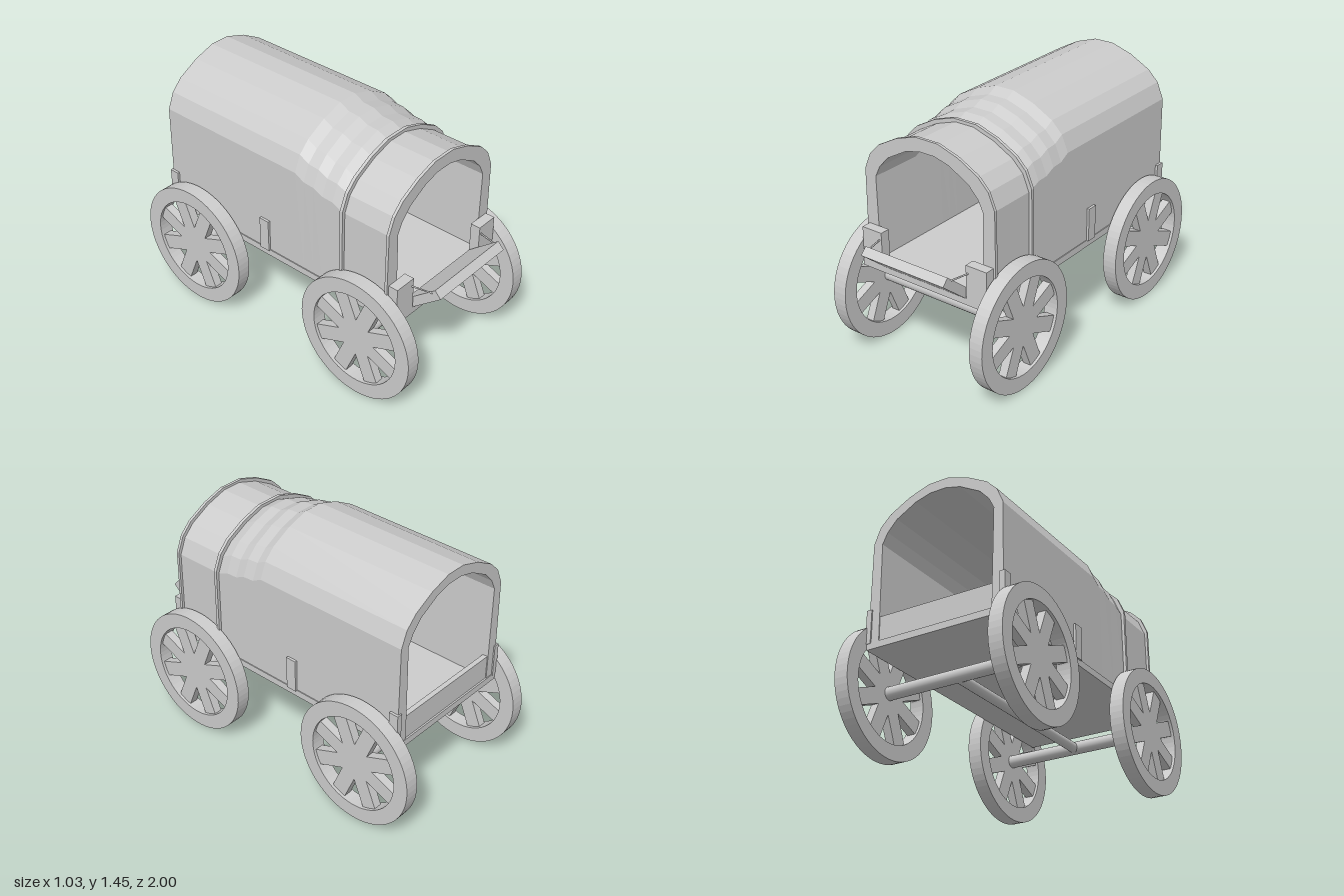
import * as THREE from 'three';

const flat = new THREE.MeshStandardMaterial({ color: 0xcccccc, flatShading: true, side: THREE.DoubleSide });
const smooth = new THREE.MeshStandardMaterial({ color: 0xcccccc });

function add(parent, name, geometry, material = flat) {
  const mesh = new THREE.Mesh(geometry, material);
  mesh.name = name;
  parent.add(mesh);
  return mesh;
}

// Box given by its limits on each axis
function box(parent, name, [x0, x1], [y0, y1], [z0, z1]) {
  const mesh = add(parent, name, new THREE.BoxGeometry(x1 - x0, y1 - y0, z1 - z0));
  mesh.position.set((x0 + x1) / 2, (y0 + y1) / 2, (z0 + z1) / 2);
  return mesh;
}

// Round bar between two points
function bar(parent, name, a, b, radius, sides = 20) {
  const from = new THREE.Vector3(...a), to = new THREE.Vector3(...b);
  const dir = to.clone().sub(from);
  const mesh = add(parent, name, new THREE.CylinderGeometry(radius, radius, dir.length(), sides), smooth);
  mesh.position.copy(from).add(to).multiplyScalar(0.5);
  mesh.quaternion.setFromUnitVectors(new THREE.Vector3(0, 1, 0), dir.normalize());
  return mesh;
}

// Half arches as [x, height above the shoulder], from the shoulder to the crown
const OUTER = [[0.42, 0], [0.38, 0.095], [0.315, 0.16], [0.19, 0.228], [0.06, 0.27]];
const INNER = [[0.362, -0.015], [0.33, 0.05], [0.27, 0.115], [0.145, 0.185], [0.05, 0.21]];
const BASE = 0.575;

// Full arch outline from the right foot over the crown to the left foot
function archPoints(half, shoulder, footX, grow = 0) {
  const side = [[footX + grow, BASE], ...half.map(([x, y]) => [x + grow, shoulder + y + grow])];
  return [...side, ...side.slice().reverse().map(([x, y]) => [-x, y])];
}

// Loft a closed ring of points through stations along z, with end caps
function loftArch(stations) {
  const rings = stations.map(({ z, shoulder, grow = 0 }) => [
    ...archPoints(OUTER, shoulder, 0.425, grow),
    ...archPoints(INNER, shoulder, 0.355).reverse(),
  ].map(([x, y]) => [x, y, z]));
  const n = rings[0].length;
  const position = rings.flat(2);
  const index = [];
  for (let s = 0; s < rings.length - 1; s++) {
    for (let i = 0; i < n; i++) {
      const j = (i + 1) % n, a = s * n, b = a + n;
      index.push(a + i, a + j, b + i, a + j, b + j, b + i);
    }
  }
  const last = (rings.length - 1) * n;
  for (let i = 0; i < n / 2 - 1; i++) {
    const p = i, q = i + 1, r = n - 2 - i, t = n - 1 - i;
    index.push(p, r, q, p, t, r);
    index.push(last + p, last + q, last + r, last + p, last + r, last + t);
  }
  const geometry = new THREE.BufferGeometry();
  geometry.setAttribute('position', new THREE.Float32BufferAttribute(position, 3));
  geometry.setIndex(index);
  geometry.computeVertexNormals();
  return geometry;
}

function makeWheel() {
  const wheel = new THREE.Group();
  // Rim
  const shape = new THREE.Shape().absarc(0, 0, 0.375, 0, Math.PI * 2);
  shape.holes.push(new THREE.Path().absarc(0, 0, 0.285, 0, Math.PI * 2, true));
  const rim = new THREE.ExtrudeGeometry(shape, { depth: 0.084, bevelEnabled: false, curveSegments: 32 });
  rim.translate(0, 0, -0.042);
  add(wheel, 'rim', rim);
  // Eight spokes as a single star
  const star = new THREE.Shape();
  const w = 0.046;
  for (let k = 0; k < 8; k++) {
    const a = Math.PI / 8 + k * Math.PI / 4;
    const c = Math.cos(a), s = Math.sin(a);
    const at = (r, t) => [r * c - t * s, r * s + t * c];
    const root = w / Math.tan(Math.PI / 8);
    if (k === 0) star.moveTo(...at(root, -w));
    else star.lineTo(...at(root, -w));
    star.lineTo(...at(0.29, -w));
    star.lineTo(...at(0.29, w));
  }
  star.closePath();
  const spokes = new THREE.ExtrudeGeometry(star, { depth: 0.05, bevelEnabled: false });
  spokes.translate(0, 0, -0.025);
  add(wheel, 'spokes', spokes);
  wheel.rotation.y = Math.PI / 2;
  return wheel;
}

export function createModel() {
  const wagon = new THREE.Group();
  wagon.name = 'coveredWagon';

  // Running gear
  const axleY = 0.38;
  for (const [end, z] of [['front', 0.615], ['rear', -0.622]]) {
    bar(wagon, end + 'Axle', [-0.47, axleY, z], [0.47, axleY, z], 0.038);
    for (const [side, s] of [['Left', 1], ['Right', -1]]) {
      const wheel = makeWheel();
      wheel.name = end + side + 'Wheel';
      wheel.position.set(s * 0.473, axleY, z);
      wagon.add(wheel);
    }
  }
  bar(wagon, 'reachPole', [0, 0.375, -0.622], [0, 0.375, 0.615], 0.03);

  // Wagon bed
  box(wagon, 'floor', [-0.43, 0.43], [0.54, 0.58], [-0.855, 0.83]);
  box(wagon, 'tailboard', [-0.42, 0.42], [0.57, 0.725], [-0.845, -0.815]);
  for (const s of [1, -1]) {
    const span = (a, b) => (s > 0 ? [a, b] : [-b, -a]);
    box(wagon, 'frontPost', span(0.29, 0.425), [0.575, 0.775], [0.77, 0.83]);
    box(wagon, 'middlePost', span(0.41, 0.438), [0.575, 0.775], [-0.14, -0.075]);
    box(wagon, 'rearPost', span(0.405, 0.438), [0.575, 0.775], [-0.858, -0.8]);
    bar(wagon, 'footboardStay', [s * 0.305, 0.73, 0.825], [s * 0.278, 0.73, 0.945], 0.005, 6);
  }

  // Tilted footboard, lofted from its side profile
  const profile = new THREE.Shape([[-1, 0.718], [-0.962, 0.758], [-0.778, 0.605], [-0.815, 0.565]]
    .map(([x, y]) => new THREE.Vector2(x, y)));
  const footboard = new THREE.ExtrudeGeometry(profile, { depth: 0.56, bevelEnabled: false });
  footboard.translate(0, 0, -0.28);
  footboard.rotateY(Math.PI / 2);
  add(wagon, 'footboard', footboard);

  // Canvas cover, stepping down towards the front
  const steps = [[0.77, 1.085], [0.45, 1.085], [0.38, 1.115], [0.31, 1.118], [0.25, 1.145],
    [0.18, 1.15], [0.12, 1.182], [-0.85, 1.182]];
  add(wagon, 'canvasCover', loftArch(steps.map(([z, shoulder]) => ({ z, shoulder }))));

  // Raised hoops around the canvas
  for (const [name, z0, z1, grow] of [['frontHoop', 0.755, 0.772, 0.015], ['middleHoop', 0.447, 0.466, 0.018]]) {
    add(wagon, name, loftArch([{ z: z1, shoulder: 1.085, grow }, { z: z0, shoulder: 1.085, grow }]));
  }
  return wagon;
}
